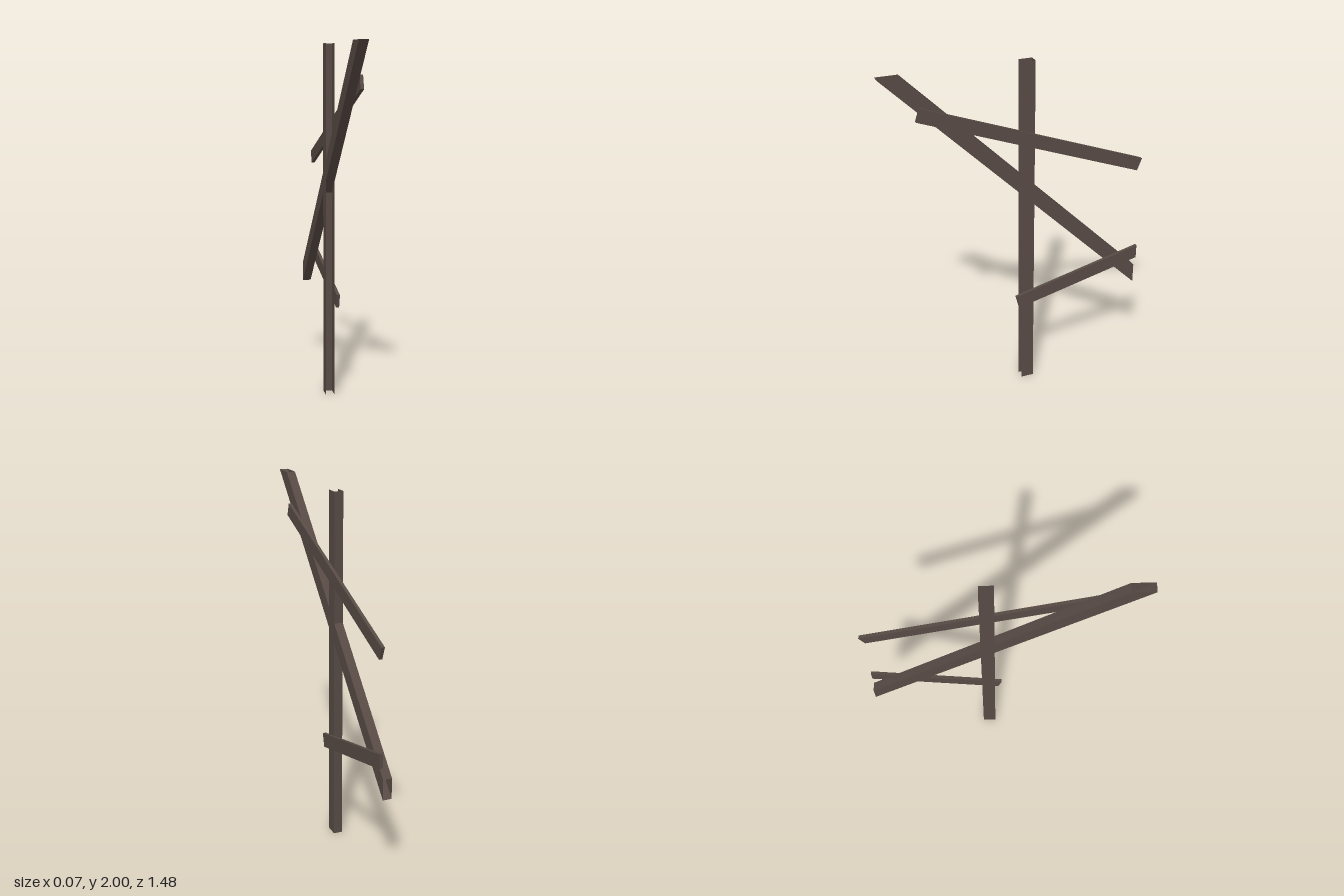
import * as THREE from 'three';

const wood = new THREE.MeshStandardMaterial({ color: 0x574a44, side: THREE.DoubleSide });
wood.name = 'dark brown wood';

// Thin walls joining two matching rings of corners, ends left open
function walls(name, start, end, closed) {
  const pos = [];
  const n = start.length;
  for (let i = 0; i < (closed ? n : n - 1); i++) {
    const j = (i + 1) % n;
    pos.push(...start[i], ...start[j], ...end[j], ...start[i], ...end[j], ...end[i]);
  }
  const geo = new THREE.BufferGeometry();
  geo.setAttribute('position', new THREE.Float32BufferAttribute(pos, 3));
  geo.computeVertexNormals();
  const mesh = new THREE.Mesh(geo, wood);
  mesh.name = name;
  return mesh;
}

// Flat board on the left side, outlined by [z, y] corners
function board(name, outline) {
  const shape = new THREE.Shape(outline.map(([z, y]) => new THREE.Vector2(-z, y)));
  const geo = new THREE.ExtrudeGeometry(shape, { depth: 0.018, bevelEnabled: false });
  geo.rotateY(Math.PI / 2).translate(0.018, 0, 0);
  const mesh = new THREE.Mesh(geo, wood);
  mesh.name = name;
  return mesh;
}

export function createModel() {
  const group = new THREE.Group();
  group.name = 'timberFrame';
  const L = 0.014, R = -0.036;

  // Upright post: channel open towards the front
  const postRing = (y) => [[L, y, -0.02], [L, y, -0.095], [R, y, -0.095], [R, y, -0.02]];
  group.add(walls('post', postRing(0), postRing(2), false));

  // Diagonal beam: cut upright at the low end and level at the top
  group.add(walls('diagonalBeam',
    [[L, 0.525, -0.74], [L, 0.64, -0.74], [R, 0.64, -0.74], [R, 0.525, -0.74]],
    [[L, 2, 0.74], [L, 2, 0.62], [R, 2, 0.62], [R, 2, 0.74]], true));

  // Boards fixed across the post and beam
  group.add(board('upperBoard', [[0.56, 1.762], [0.537, 1.833], [-0.738, 1.351], [-0.711, 1.281]]));
  group.add(board('lowerBoard', [[0, 0.52], [0.02, 0.597], [-0.74, 0.786], [-0.74, 0.705]]));

  return group;
}
